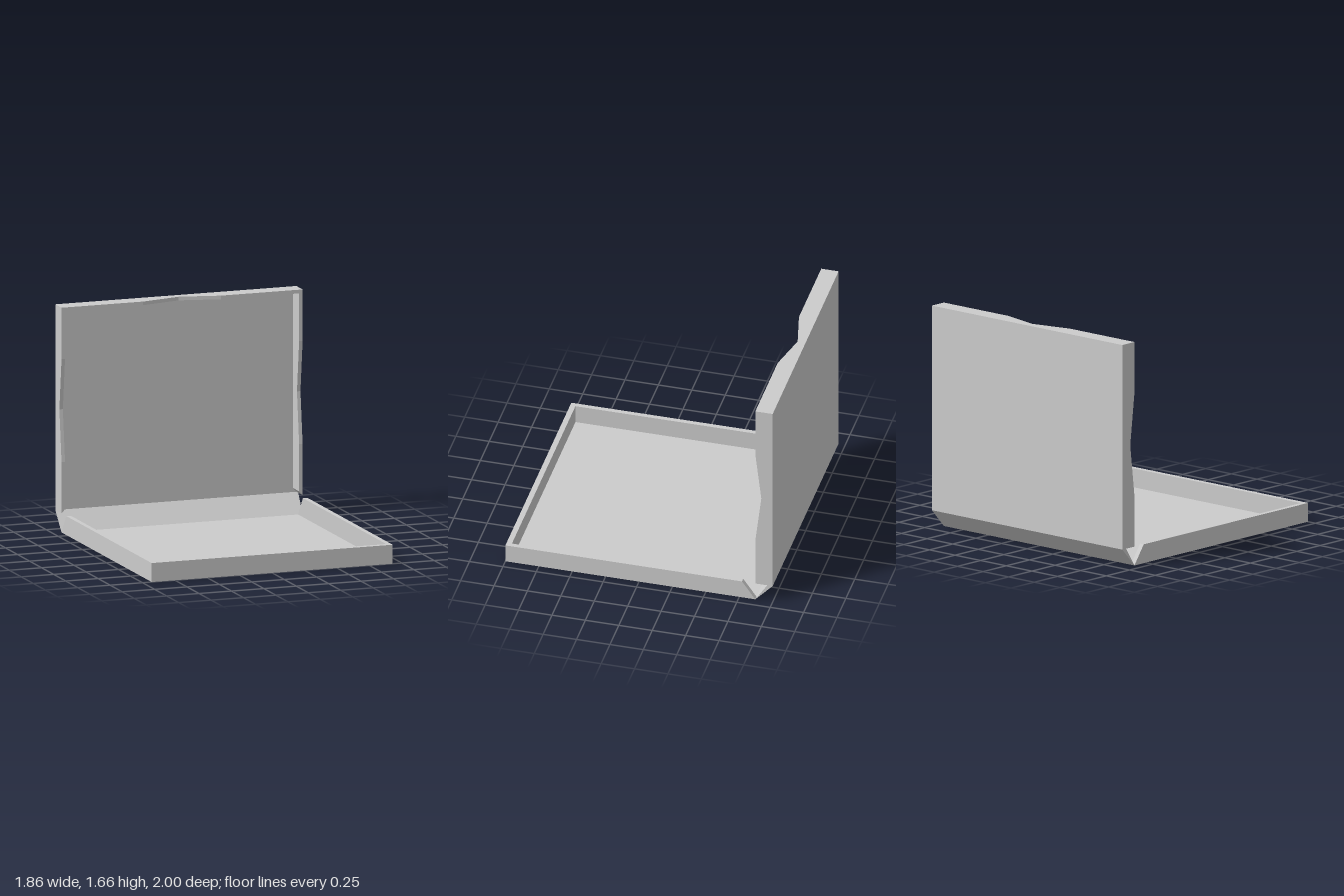
import * as THREE from 'three';

const material = new THREE.MeshStandardMaterial({ color: 0xcccccc, flatShading: true, side: THREE.DoubleSide });

// Flat card piece from a list of convex polygons, each a list of [x, y, z]
function card(name, polygons) {
  const pos = [];
  for (const p of polygons) {
    for (let i = 1; i < p.length - 1; i++) pos.push(...p[0], ...p[i], ...p[i + 1]);
  }
  const geo = new THREE.BufferGeometry();
  geo.setAttribute('position', new THREE.Float32BufferAttribute(pos, 3));
  geo.computeVertexNormals();
  const mesh = new THREE.Mesh(geo, material);
  mesh.name = name;
  return mesh;
}

// Hollow folded wall: outer sheet, inner sheet, the rim between them and end caps.
// outer and inner are matching profiles of [distance along, height];
// place(s, h, k) maps a point to 3D, k = 0 on the outer and 1 on the inner sheet.
function wall(name, outer, inner, place, capStart = false) {
  const polys = [];
  for (let i = 0; i < outer.length - 1; i++) {
    [outer, inner].forEach((p, k) => {
      const [a, b] = [p[i], p[i + 1]];
      polys.push([place(a[0], 0, k), place(b[0], 0, k), place(b[0], b[1], k), place(a[0], a[1], k)]);
    });
    polys.push([place(...outer[i], 0), place(...outer[i + 1], 0), place(...inner[i + 1], 1), place(...inner[i], 1)]);
  }
  if (capStart) {
    const [a, b] = [outer[0], inner[0]];
    polys.push([place(a[0], 0, 0), place(...a, 0), place(...b, 1), place(b[0], 0, 1)]);
  }
  return card(name, polys);
}

export function createModel() {
  const group = new THREE.Group();
  const W = 0.93, H = 0.14, D = 0.13, hinge = -0.87, top = 1.66;
  const baseT = 0.035, lidT = 0.027;

  // Tray floor, sloping spine and upright lid panel
  const fx = W - baseT;
  group.add(card('trayFloor', [[[-fx, 0, hinge], [-fx, 0, 0.96], [fx, 0, 0.96], [fx, 0, hinge]]]));
  group.add(card('spine', [[[-W, 0, hinge], [W, 0, hinge], [W, H, -1], [-W, H, -1]]]));
  group.add(card('lidPanel', [[[-W, H, -1], [W, H, -1], [W, top, -1], [-W, top, -1]]]));

  // Front wall of the tray
  group.add(wall('trayFrontWall', [[-W, H], [W, H]], [[-fx, H], [fx, H]],
    (s, h, k) => [s, h, 1 - 0.04 * k]));

  // Top wall of the lid, with a shallow finger notch
  const lx = W - lidT;
  const topProfile = (x) => [[-x, D], [-0.3, D], [0, 0.06], [0.3, D], [x, D]];
  group.add(wall('lidTopWall', topProfile(W), topProfile(lx),
    (s, h, k) => [s, top - lidT * k, -1 + h]));

  // Mirrored side walls and hinge gussets
  const trayProfile = (end) => [[hinge, 0], [-0.77, H], [end, H]];
  const lidProfile = (a, b) => [[a, D], [0.52, D], [0.9, 0.085], [1.28, D], [b, D]];
  for (const [side, label] of [[1, 'left'], [-1, 'right']]) {
    group.add(wall(label + 'TrayWall', trayProfile(1), trayProfile(0.96),
      (s, h, k) => [side * (W - baseT * k), h, s]));
    group.add(wall(label + 'LidWall', lidProfile(H, top), lidProfile(0.17, top - lidT),
      (s, h, k) => [side * (W - lidT * k), s, -1 + h], true));
    group.add(card(label + 'HingeGusset', [[[side * W, 0, hinge], [side * W, H, -0.96], [side * W, H, -1]]]));
  }
  return group;
}
